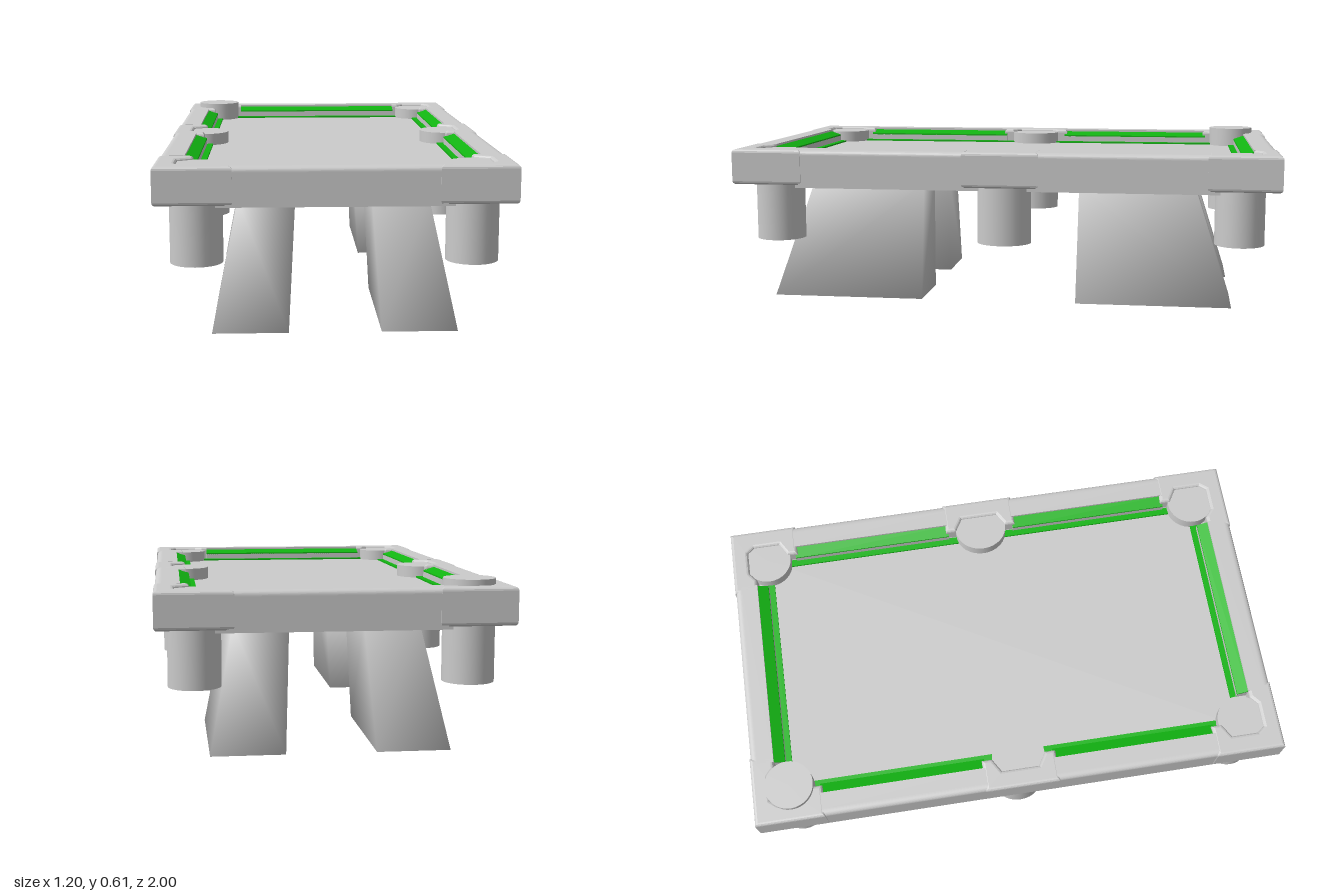
import * as THREE from 'three';

const grey = new THREE.MeshStandardMaterial({ color: 0xcccccc });
const green = new THREE.MeshStandardMaterial({ color: 0x12b512 });
const TOP = 0.585, UNDER = 0.455, BED = 0.53;

function add(parent, name, geometry, material = grey) {
  const mesh = new THREE.Mesh(geometry, material);
  mesh.name = name;
  parent.add(mesh);
  return mesh;
}

function shapeOf(points) {
  return new THREE.Shape(points.map(([x, y]) => new THREE.Vector2(x, y)));
}

// Cross-section (outward distance, height) run along one side of the table
function bar(profile, from, to) {
  const g = new THREE.ExtrudeGeometry(profile, { depth: to - from, bevelEnabled: false });
  return g.translate(0, 0, from);
}

// Plan outline (x, z) made into a block with softened edges
function block(points) {
  const g = new THREE.ExtrudeGeometry(shapeOf(points), {
    depth: TOP - UNDER - 0.024, bevelThickness: 0.012, bevelSize: 0.012,
    bevelOffset: -0.012, bevelSegments: 3,
  });
  return g.rotateX(Math.PI / 2).translate(0, TOP - 0.012, 0);
}

// Rail section with a rounded outer top edge; edge = outer distance
function railProfile(inner, edge) {
  const s = new THREE.Shape();
  s.moveTo(inner, UNDER);
  s.lineTo(edge, UNDER);
  s.lineTo(edge, TOP - 0.02);
  s.quadraticCurveTo(edge, TOP, edge - 0.025, TOP);
  s.lineTo(inner, TOP);
  return s;
}

// Rail, cushion and cloth strip for one run, turned to face its side
function railRun(name, angle, inner, edge, from, to, stripFrom, stripTo) {
  const run = new THREE.Group();
  run.name = name;
  const nose = inner - 0.04;
  add(run, 'rail', bar(railProfile(inner, edge), from, to));
  add(run, 'cushionBase', bar(shapeOf([
    [nose, BED - 0.01], [inner, BED - 0.01], [inner, 0.572], [nose, 0.558]]), from, to));
  add(run, 'cushionTop', bar(shapeOf([
    [nose, 0.557], [inner, 0.571], [inner, 0.577], [nose, 0.563]]), from, to), green);
  add(run, 'clothStrip', bar(shapeOf([
    [nose - 0.022, BED - 0.01], [nose + 0.005, BED - 0.01],
    [nose + 0.005, BED + 0.006], [nose - 0.022, BED + 0.006]]), stripFrom, stripTo), green);
  run.rotation.y = angle;
  return run;
}

// Leg: four-sided, splayed outward, with soft shading over shared corners
function legGeometry(sx, sz, bottom, top) {
  const positions = [];
  for (const [y, [x0, x1, z0, z1]] of [[0, bottom], [0.44, top]]) {
    for (const [x, z] of [[x0, z0], [x1, z0], [x1, z1], [x0, z1]]) positions.push(sx * x, y, sz * z);
  }
  const index = [0, 1, 2, 0, 2, 3, 4, 6, 5, 4, 7, 6];
  for (let i = 0; i < 4; i++) {
    const j = (i + 1) % 4;
    index.push(i, i + 4, j, j, i + 4, j + 4);
  }
  // Mirroring on one axis turns the faces inside out, so swap corners back
  if (sx * sz < 0) {
    for (let i = 0; i < index.length; i += 3) [index[i + 1], index[i + 2]] = [index[i + 2], index[i + 1]];
  }
  const g = new THREE.BufferGeometry();
  g.setAttribute('position', new THREE.Float32BufferAttribute(positions, 3));
  g.setIndex(index);
  g.computeVertexNormals();
  return g;
}

function pocket(parent, name, x, z, bottom, top, stretch = 1) {
  const mesh = add(parent, name, new THREE.CylinderGeometry(0.09, 0.09, top - bottom, 32));
  mesh.position.set(x, (top + bottom) / 2, z);
  mesh.scale.z = stretch;
}

export function createModel() {
  const table = new THREE.Group();
  table.name = 'poolTable';

  // Playing bed, also forming the low lip under the frame
  add(table, 'bed', new THREE.BoxGeometry(1.04, BED - 0.435, 1.84)).position.y = (BED + 0.435) / 2;

  // End rails
  table.add(railRun('frontRail', -Math.PI / 2, 0.91, 0.997, -0.365, 0.365, -0.39, 0.39));
  table.add(railRun('backRail', Math.PI / 2, 0.91, 0.997, -0.365, 0.365, -0.39, 0.39));

  for (const sx of [1, -1]) {
    const side = sx > 0 ? 'left' : 'right';

    // Two side rails, split by the middle pocket
    for (const [a, b, c, d] of [[0.13, 0.75, 0.09, 0.79], [-0.75, -0.13, -0.79, -0.09]]) {
      table.add(railRun(side + 'Rail', sx > 0 ? 0 : Math.PI, 0.51, 0.597, a, b, c, d));
    }

    // Middle pocket and its notched casting
    add(table, side + 'MiddleCasting', block([
      [0.48, 0.14], [0.6, 0.14], [0.6, -0.14], [0.48, -0.14],
      [0.48, -0.1], [0.53, -0.07], [0.53, 0.07], [0.48, 0.1]].map(([x, z]) => [sx * x, z])));
    pocket(table, side + 'MiddlePocket', sx * 0.48, 0, 0.24, 0.575, 1.11);

    for (const sz of [1, -1]) {
      const corner = (sz > 0 ? 'front' : 'back') + (sx > 0 ? 'Left' : 'Right');

      // Corner casting wrapping the pocket
      add(table, corner + 'Casting', block([
        [0.48, 0.74], [0.6, 0.74], [0.6, 1], [0.34, 1], [0.34, 0.91], [0.39, 0.91],
        [0.42, 0.935], [0.51, 0.935], [0.53, 0.91], [0.53, 0.81], [0.48, 0.78],
      ].map(([x, z]) => [sx * x, sz * z])));

      // The back right pocket stands a little proud of the frame
      const proud = sx < 0 && sz < 0;
      pocket(table, corner + 'Pocket', sx * 0.467, sz * 0.86,
        sz > 0 ? 0.24 : 0.25, proud ? 0.605 : 0.575);

      // Splayed leg; the back pair sits slightly further forward
      const shift = sz > 0 ? 0 : -0.07;
      add(table, corner + 'Leg', legGeometry(sx, sz,
        [0.158, 0.418, 0.33 + shift, 0.91 + shift],
        [0.132, 0.33, 0.335 + shift, 0.77 + shift]));
    }
  }
  return table;
}
